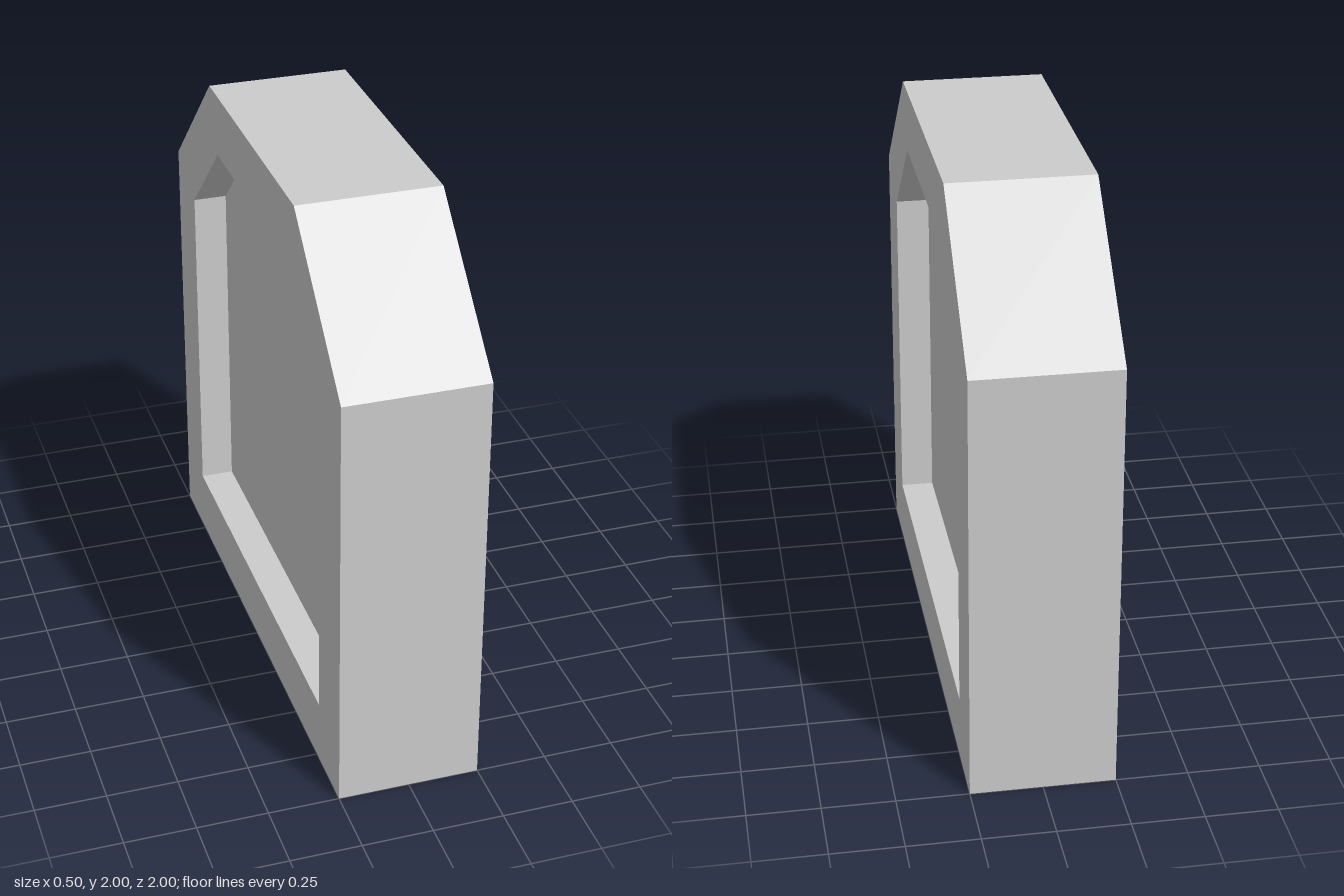
import * as THREE from 'three';

const WIDTH = 0.5;    // thickness along x
const RECESS = 0.12;  // depth of the sunken panels

// Mirrored outline with two chamfered top corners
function outline(Type, halfWidth, bottom, top, shoulder, halfTop) {
  return new Type([
    [-halfWidth, bottom], [halfWidth, bottom], [halfWidth, shoulder],
    [halfTop, top], [-halfTop, top], [-halfWidth, shoulder],
  ].map(([x, y]) => new THREE.Vector2(x, y)));
}

export function createModel() {
  const group = new THREE.Group();
  const material = new THREE.MeshStandardMaterial({ color: 0xcccccc, flatShading: true });
  const inner = [0.773, 0.23, 1.775, 1.44, 0.418];

  // Thick outer frame, open through the middle
  const shape = outline(THREE.Shape, 1, 0, 2, 1.54, 0.51);
  shape.holes.push(outline(THREE.Path, ...inner));
  const frameGeometry = new THREE.ExtrudeGeometry(shape, { depth: WIDTH, bevelEnabled: false });
  frameGeometry.translate(0, 0, -WIDTH / 2).rotateY(Math.PI / 2);
  const frame = new THREE.Mesh(frameGeometry, material);
  frame.name = 'frame';
  group.add(frame);

  // Sunken panel on each side, facing outwards
  for (const side of [1, -1]) {
    const panel = new THREE.Mesh(new THREE.ShapeGeometry(outline(THREE.Shape, ...inner)), material);
    panel.name = side > 0 ? 'leftPanel' : 'rightPanel';
    panel.rotation.y = side * Math.PI / 2;
    panel.position.x = side * (WIDTH / 2 - RECESS);
    group.add(panel);
  }

  return group;
}
